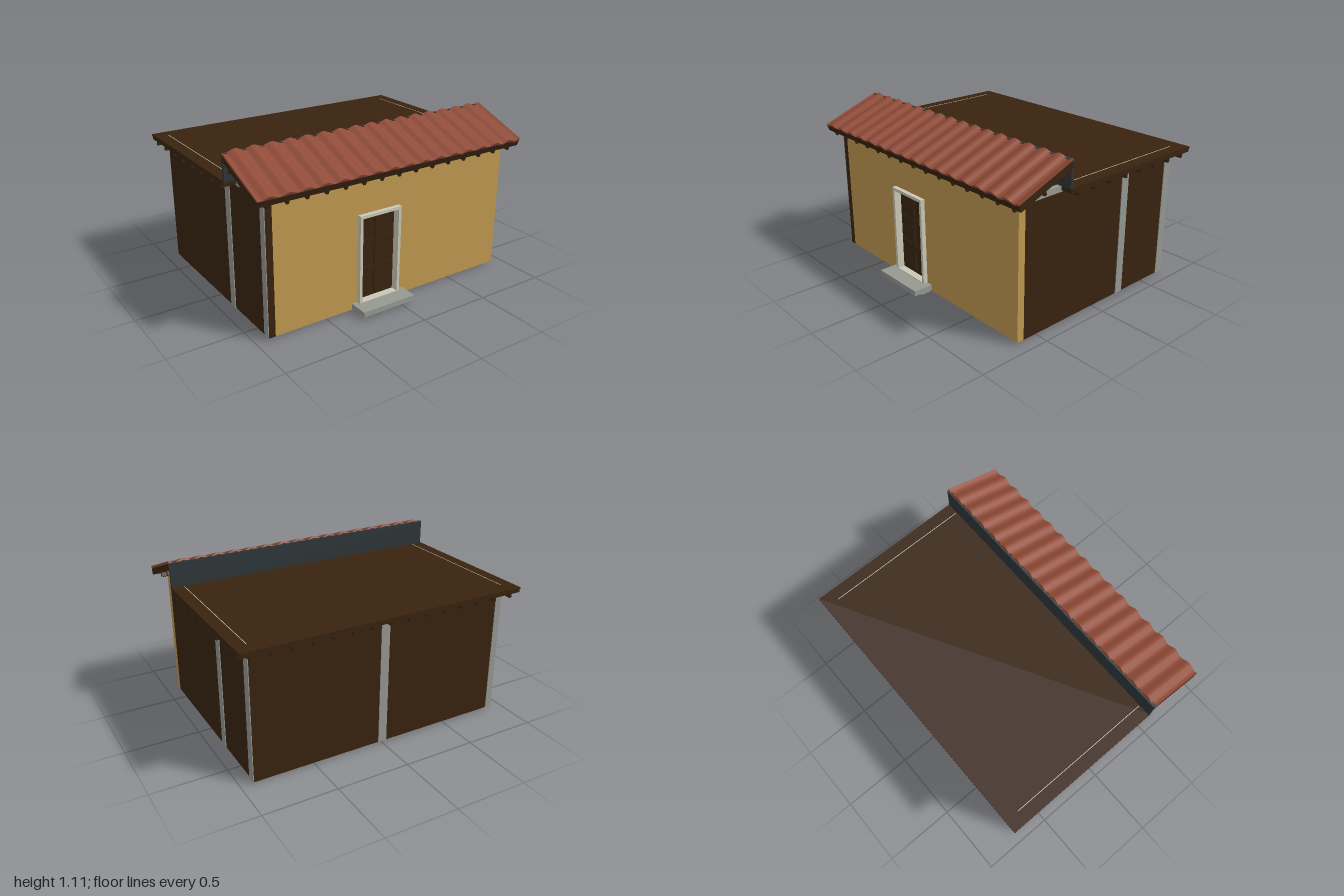
import * as THREE from 'three';

const mat = (name, color) => {
  const m = new THREE.MeshStandardMaterial({ color });
  m.name = name;
  return m;
};

export function createModel() {
  const brown = mat('dark wood', 0x38230f);
  const ochre = mat('ochre plaster', 0xbf9850);
  const grey = mat('grey stone', 0x969892);
  const cream = mat('pale door frame', 0xc9c8b6);
  const red = mat('terracotta', 0x8f4a36);
  const slate = mat('slate board', 0x2e3638);

  const model = new THREE.Group();
  model.name = 'house';

  const add = (name, geometry, material, parent = model) => {
    const mesh = new THREE.Mesh(geometry, material);
    mesh.name = name;
    parent.add(mesh);
    return mesh;
  };
  // Box given by its lower and upper bounds
  const box = (name, material, x0, x1, y0, y1, z0, z1, parent = model) => {
    const g = new THREE.BoxGeometry(x1 - x0, y1 - y0, z1 - z0);
    g.translate((x0 + x1) / 2, (y0 + y1) / 2, (z0 + z1) / 2);
    return add(name, g, material, parent);
  };
  const rect = (Type, x0, x1, y0, y1) => new Type([
    new THREE.Vector2(x0, y0), new THREE.Vector2(x1, y0),
    new THREE.Vector2(x1, y1), new THREE.Vector2(x0, y1)]);
  // Rectangular plate with a rectangular opening
  const plateWithHole = (name, material, outer, hole, z0, z1) => {
    const shape = rect(THREE.Shape, ...outer);
    shape.holes.push(rect(THREE.Path, ...hole));
    const g = new THREE.ExtrudeGeometry(shape, { depth: z1 - z0, bevelEnabled: false });
    g.translate(0, 0, z0);
    add(name, g, material);
  };

  // Walls, each butting against the next at the corners
  const W = 0.915, T = 0.87, BASE = 0.012, TOP = 0.88;
  plateWithHole('frontWall', ochre, [-T, W, BASE, 0.9], [-0.265, 0.03, 0.05, 0.645], 0.61, 0.66);
  box('leftWall', brown, T, W, BASE, TOP, -0.65, 0.61);
  box('rightWall', brown, -W, -T, BASE, 0.89, -0.71, 0.66);
  box('backWall', brown, -T, W, BASE, TOP, -0.71, -0.65);

  // Grey posts as thin plates on the outer faces
  const P = 0.005;
  box('leftPost', grey, W, W + P, BASE, TOP, -0.28, -0.22);
  box('leftBackPost', grey, W, W + P, BASE, TOP, -0.71, -0.65);
  box('rightPost', grey, -W - P, -W, BASE, TOP, 0.17, 0.23);
  box('rightFrontPost', grey, -W - P, -W, BASE, TOP, 0.61, 0.66);
  box('backPost', grey, -0.03, 0.03, BASE, TOP, -0.71 - P, -0.71);
  box('backCornerPost', grey, -W, -T, BASE, TOP, -0.71 - P, -0.71);

  // Grey wall caps and the fine seams on the flat roof
  for (const s of [-1, 1]) {
    const a = s * 0.875, b = s * (W + 0.002);
    box('wallCap', grey, Math.min(a, b), Math.max(a, b), TOP, 0.92, -0.71, 0.61);
    box('roofSeam', cream, s * W - 0.002, s * W + 0.002, 0.92, 0.9265, -0.7, 0.31);
  }

  // Flat roof with eave joists
  box('flatRoof', brown, -0.998, 0.998, 0.89, 0.91, -0.79, 0.328);
  box('flatRoofBoards', brown, -1, 1, 0.91, 0.925, -0.795, 0.328);
  for (let i = 0; i < 8; i++) {
    const z = 0.26 - i * 0.14;
    for (const s of [-1, 1]) {
      box('sideJoist', brown, s * 0.92 - 0.075, s * 0.92 + 0.075, 0.863, 0.892, z - 0.009, z + 0.009);
    }
  }
  for (let i = -7; i <= 7; i++) {
    const x = i * 0.1325;
    box('backJoist', brown, x - 0.009, x + 0.009, 0.863, 0.892, -0.785, -0.63);
  }

  // Gable infill below the sloped roof
  const gable = new THREE.ExtrudeGeometry(new THREE.Shape([
    new THREE.Vector2(0.655, 0.885), new THREE.Vector2(0.655, 0.915),
    new THREE.Vector2(0.33, 1.045), new THREE.Vector2(0.33, 0.885)]),
  { depth: 1.78, bevelEnabled: false });
  gable.translate(0, 0, -0.89).rotateY(-Math.PI / 2);
  add('gableInfill', gable, brown);
  box('ridgeBoard', slate, -0.998, 0.998, 0.92, 1.095, 0.318, 0.338);

  // Sloped front roof, built flat with its eave at the origin and then tilted
  const canopy = new THREE.Group();
  canopy.name = 'slopedRoof';
  canopy.position.set(0, 0.905, 0.725);
  canopy.rotation.x = 0.372;
  model.add(canopy);
  box('roofDeck', brown, -1, 1, -0.013, 0.03, -0.43, 0.005, canopy);
  for (let i = -7; i <= 7; i++) {
    const x = i * 0.1325;
    box('rafter', brown, x - 0.009, x + 0.009, -0.042, -0.012, -0.16, 0, canopy);
  }
  for (const z of [-0.34, -0.19, -0.03]) {
    box('purlin', brown, -0.995, 0.995, -0.04, -0.012, z - 0.009, z + 0.009, canopy).visible = true;
    if (z === -0.03) canopy.children.pop();
  }

  // Wavy tile sheet
  const wave = x => 0.034 + 0.01 * Math.cos((x + 0.92) * 2 * Math.PI / 0.1213);
  const upper = [], lower = [], N = 166;
  for (let i = 0; i <= N; i++) {
    const x = -1 + 2 * i / N;
    lower.push(new THREE.Vector2(x, wave(x) - 0.006));
    upper.unshift(new THREE.Vector2(x, wave(x) + 0.008));
  }
  const tiles = new THREE.ExtrudeGeometry(new THREE.Shape([...lower, ...upper]),
    { depth: 0.445, bevelEnabled: false });
  tiles.translate(0, 0, -0.44);
  add('roofTiles', tiles, red, canopy);

  // Door with frame, stile and rails
  plateWithHole('doorFrame', cream, [-0.275, 0.04, 0.04, 0.655], [-0.255, 0.02, 0.06, 0.635], 0.605, 0.69);
  box('door', brown, -0.255, 0.02, 0.06, 0.635, 0.612, 0.64);
  box('doorStile', brown, -0.135, -0.1, 0.08, 0.622, 0.64, 0.65);
  for (const y of [0.258, 0.445]) {
    box('doorRail', brown, -0.238, 0.005, y - 0.019, y + 0.019, 0.64, 0.648);
  }

  // Doorstep
  box('upperStep', grey, -0.315, 0.085, 0.02, 0.055, 0.655, 0.795);
  box('lowerStep', grey, -0.305, 0.07, 0, 0.02, 0.66, 0.735);

  return model;
}
